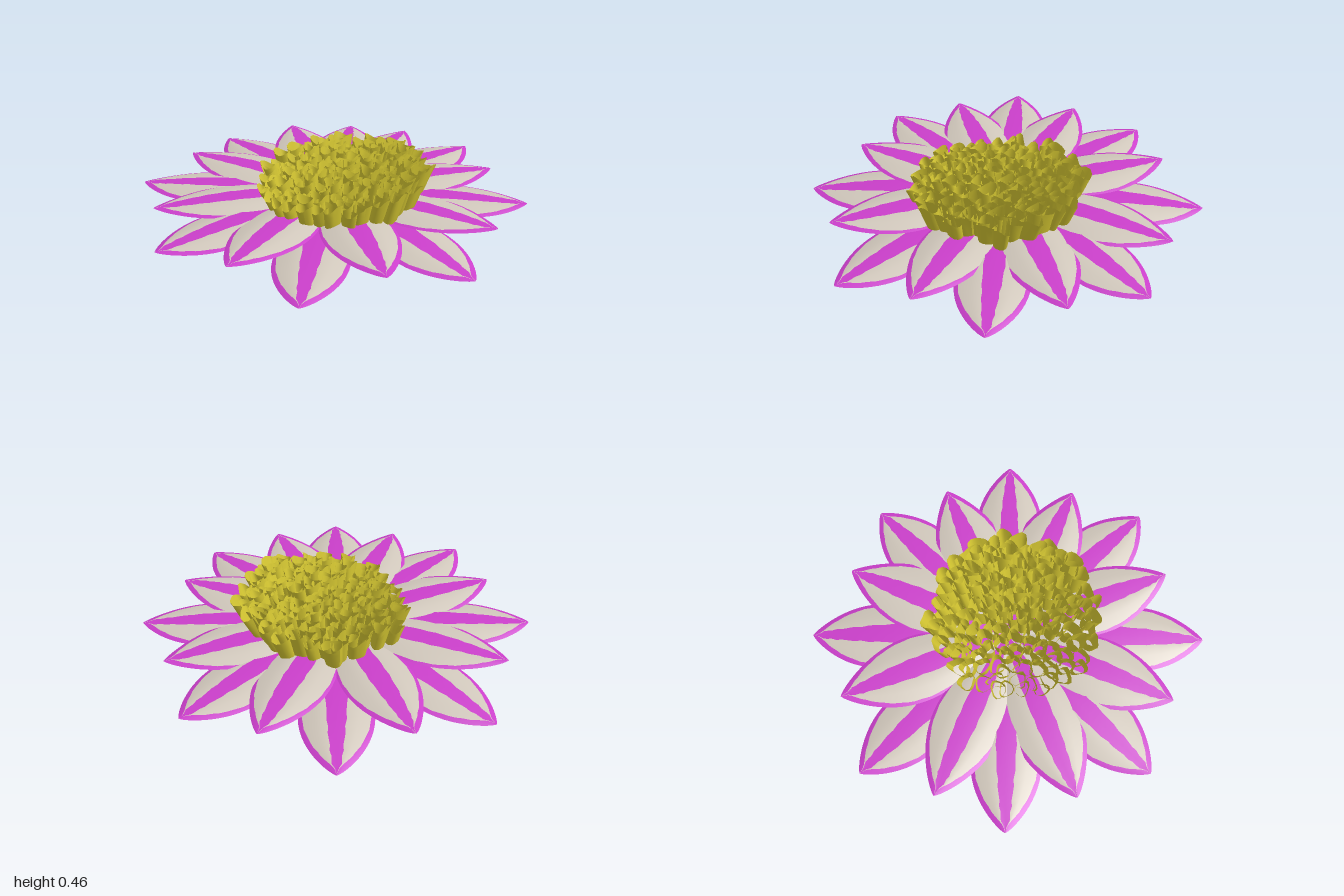
import * as THREE from 'three';

const mat = (name, color) => {
  const m = new THREE.MeshStandardMaterial({ color, side: THREE.DoubleSide });
  m.name = name;
  return m;
};

// Seeded random numbers
function seeded(seed) {
  return () => {
    seed = (seed * 16807) % 2147483647;
    return seed / 2147483647;
  };
}

// Petal along +z: five lengthwise bands (rim, pale, stripe, pale, rim) on one arched grid
function petalGeometry(length, width, peak, baseY, tipY) {
  const rows = 28, cols = 11;
  const pos = [], index = [];
  for (let i = 0; i <= rows; i++) {
    const t = Math.sin((i / rows) * Math.PI / 2);
    const half = Math.max(width * Math.pow(Math.max(Math.sin(Math.PI * Math.pow(t, peak)), 0), 0.8), 0.0005);
    const jag = 0.003 * Math.sin(i * 2.4);
    const inner = Math.max(half - (0.010 + 0.03 * t * t * t + 0.6 * jag), half * 0.2);
    const stripe = Math.min(0.012 + 0.042 * Math.pow(Math.sin(Math.PI * Math.min(t, 1)), 0.9) + jag, inner * 0.75);
    const edges = [-half, -inner, -stripe, stripe, inner, half];
    for (let c = 0; c < cols; c++) {
      const k = Math.min(Math.floor(c / 2), 4), f = c / 2 - k;
      const x = edges[k] + (edges[k + 1] - edges[k]) * f;
      const s = x / half;
      const arch = 0.035 * Math.sin(Math.PI * t);
      const curve = -0.035 * s * s * (half / width);
      const groove = -0.008 * Math.exp(-s * s * 30) * (half / width);
      pos.push(x, baseY + (tipY - baseY) * t * t + arch + curve + groove, t * length);
    }
  }
  const g = new THREE.BufferGeometry();
  for (let band = 0; band < 5; band++) {
    const start = index.length;
    for (let i = 0; i < rows; i++) {
      for (let c = band * 2; c < band * 2 + 2; c++) {
        const a = i * cols + c, b = a + 1, d = a + cols, e = d + 1;
        index.push(a, d, b, b, d, e);
      }
    }
    g.addGroup(start, index.length - start, band % 2);
  }
  g.setAttribute('position', new THREE.Float32BufferAttribute(pos, 3));
  g.setIndex(index);
  g.computeVertexNormals();
  return g;
}

// Open floret: pointed at the tip, widening to a wavy rim
function floretGeometry(tip, top, radius, squash, phase) {
  const profile = [[0.001, 0], [0.3, 0.1], [0.58, 0.25], [0.8, 0.45], [0.93, 0.68], [1, 0.88], [1.06, 1]]
    .map(([r, y]) => new THREE.Vector2(r * radius, y));
  const g = new THREE.LatheGeometry(profile, 14);
  const p = g.attributes.position;
  for (let i = 0; i < p.count; i++) {
    const x = p.getX(i), y = p.getY(i), z = p.getZ(i);
    const a = Math.atan2(z, x);
    const fold = 1 + 0.16 * y * Math.sin(3 * a + phase);
    const ex = x * fold * squash, ez = z * fold / squash;
    const cs = Math.cos(phase), sn = Math.sin(phase);
    p.setXYZ(i,
      tip.x + (top.x - tip.x) * y + ex * cs - ez * sn,
      tip.y + (top.y - tip.y) * y + 0.016 * y * y * y * Math.sin(2 * a + phase * 2),
      tip.z + (top.z - tip.z) * y + ex * sn + ez * cs);
  }
  g.computeVertexNormals();
  return g;
}

export function createModel() {
  const model = new THREE.Group();
  model.name = 'flower';
  const magenta = mat('magenta', 0xcc3fcc);
  const pale = mat('pale beige', 0xd2c9bd);
  const yellow = mat('yellow', 0xd6c832);

  // Two staggered rings of eight petals
  const petals = new THREE.Group();
  petals.name = 'petals';
  const upper = petalGeometry(0.955, 0.19, 1.2, 0.25, 0.268);
  const lowerSide = petalGeometry(1.06, 0.187, 1.6, 0.232, 0.236);
  const lowerEnd = petalGeometry(1.078, 0.187, 1.6, 0.232, 0.206);
  for (let i = 0; i < 16; i++) {
    const angle = i * Math.PI / 8;
    const isUpper = i % 2 === 0;
    const geo = isUpper ? upper : Math.abs(Math.cos(angle)) > 0.7 ? lowerEnd : lowerSide;
    const petal = new THREE.Mesh(geo, [magenta, pale]);
    petal.name = isUpper ? 'upperPetal' : 'lowerPetal';
    petal.rotation.y = angle;
    petals.add(petal);
  }
  model.add(petals);

  // Packed cluster of florets, rising towards +x and leaning outwards
  const rand = seeded(4217);
  const jitter = (a) => (rand() - 0.5) * 2 * a;
  const florets = new THREE.Group();
  florets.name = 'florets';
  const addFloret = (name, tip, top, radius, squash, phase) => {
    const m = new THREE.Mesh(floretGeometry(tip, top, radius, squash, phase), yellow);
    m.name = name;
    florets.add(m);
  };
  const count = 135;
  for (let i = 0; i < count; i++) {
    const d = Math.sqrt((i + 0.5) / count);
    const a = i * 2.39996;
    const x = 0.45 * d * Math.cos(a) + jitter(0.015);
    const z = 0.45 * d * Math.sin(a) + jitter(0.015);
    const top = new THREE.Vector3(0.045 + x, 0.385 + 0.1 * x + jitter(0.025), 0.06 + z);
    const tip = new THREE.Vector3(0.03 + x * 0.78, 0.085 + jitter(0.035), 0.06 + z * 0.84);
    addFloret('floret', tip, top, 0.043 + 0.012 * x + jitter(0.006), 1 + jitter(0.15), rand() * 6.28);
  }
  // One larger floret hanging lowest
  addFloret('largeFloret', new THREE.Vector3(0.31, 0, -0.05), new THREE.Vector3(0.41, 0.44, -0.05), 0.075, 1, 0.4);
  model.add(florets);
  return model;
}
